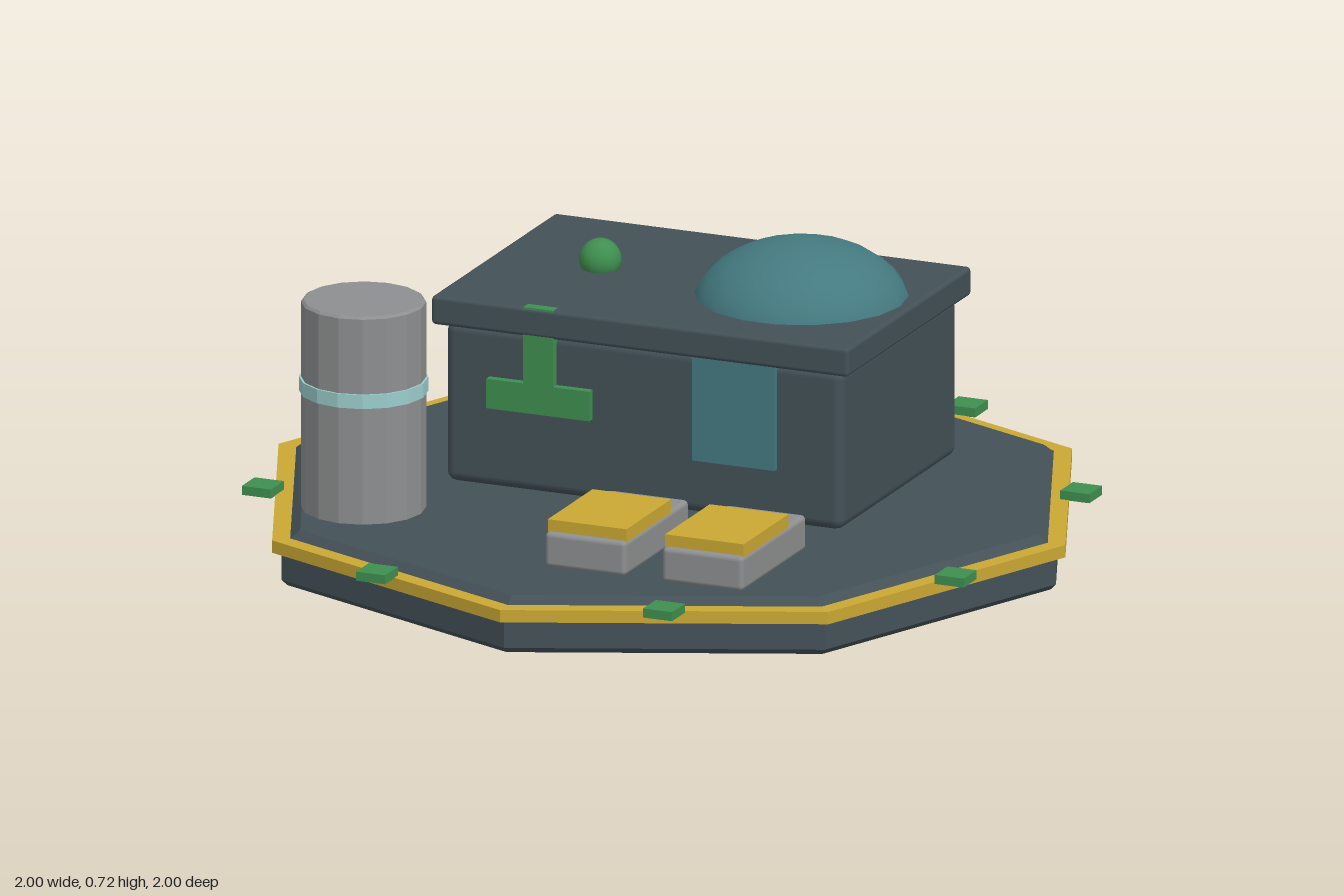
import * as THREE from 'three';
import { RoundedBoxGeometry } from 'three/addons/geometries/RoundedBoxGeometry.js';

const mat = (name, color) => {
  const m = new THREE.MeshStandardMaterial({ color });
  m.name = name;
  return m;
};

// Separate the faces so each one is shaded flat
function flat(geometry) {
  const g = geometry.index ? geometry.toNonIndexed() : geometry;
  g.computeVertexNormals();
  return g;
}

export function createModel() {
  const slate = mat('slate', 0x435157);
  const gold = mat('gold', 0xcaa833);
  const green = mat('green', 0x3f8f50);
  const teal = mat('teal', 0x447a80);
  const grey = mat('grey', 0x8d8f90);
  const paleTeal = mat('pale teal', 0x9ccccc);

  const model = new THREE.Group();
  model.name = 'outpost';

  const add = (name, geometry, material, x = 0, y = 0, z = 0) => {
    const mesh = new THREE.Mesh(geometry, material);
    mesh.name = name;
    mesh.position.set(x, y, z);
    model.add(mesh);
    return mesh;
  };
  // Box given by its extents on each axis, with optional softened edges
  const box = (name, material, [x0, x1], [y0, y1], [z0, z1], bevel = 0) => {
    const size = [x1 - x0, y1 - y0, z1 - z0];
    const g = bevel ? new RoundedBoxGeometry(...size, 2, bevel) : new THREE.BoxGeometry(...size);
    return add(name, g, material, (x0 + x1) / 2, (y0 + y1) / 2, (z0 + z1) / 2);
  };
  // Flat-shaded turned shape; the profile runs upward on the outside
  const turned = (points, sides) =>
    flat(new THREE.LatheGeometry(points.map(([r, y]) => new THREE.Vector2(r, y)), sides));

  // Octagonal platform and its rim
  add('platform', turned([[0, 0], [0.962, 0], [0.976, 0.014], [0.976, 0.094], [0.93, 0.13], [0, 0.13]], 8), slate);
  add('platformRim', turned([[0.955, 0.083], [1, 0.083], [1, 0.113], [0.955, 0.113], [0.955, 0.083]], 8), gold);

  // Marker lights around the rim, one per side
  for (let i = 0; i < 8; i++) {
    const a = (i + 0.5) * Math.PI / 4;
    add('rimLight', new THREE.BoxGeometry(0.074, 0.022, 0.074), green,
      Math.cos(a) * 0.953, 0.123, Math.sin(a) * 0.953);
  }

  // Building with overhanging roof
  box('buildingWalls', slate, [-0.505, 0.505], [0.13, 0.52], [-0.507, 0.168], 0.025);
  box('roof', slate, [-0.53, 0.53], [0.515, 0.585], [-0.53, 0.19], 0.01);
  box('door', teal, [0.13, 0.34], [0.263, 0.52], [0.16, 0.182]);

  // Wall emblem: wide foot and upright stem
  box('emblemFoot', green, [-0.39, -0.128], [0.328, 0.4], [0.16, 0.188]);
  box('emblemStem', green, [-0.296, -0.22], [0.4, 0.586], [0.16, 0.188]);

  // Shallow dome sunk into the roof, and a small beacon
  const dome = add('dome', new THREE.SphereGeometry(0.258, 18, 9, 0, Math.PI * 2, 0, Math.PI / 2),
    teal, 0.255, 0.545, -0.17);
  dome.scale.y = 0.66;
  add('beacon', new THREE.SphereGeometry(0.05, 16, 12), green, -0.258, 0.606, -0.173);

  // Storage tank with a band
  const tank = turned([[0, 0.13], [0.146, 0.13], [0.146, 0.629], [0.14, 0.635], [0, 0.635]], 16);
  add('tank', tank, grey, -0.598, 0, 0.425);
  add('tankBand', turned([[0.14, 0.413], [0.151, 0.413], [0.151, 0.447], [0.14, 0.447]], 16),
    paleTeal, -0.598, 0, 0.425);

  // Pair of crates with lids
  for (const x of [0.083, 0.381]) {
    box('crate', grey, [x - 0.103, x + 0.103], [0.13, 0.215], [0.323, 0.697], 0.012);
    box('crateLid', gold, [x - 0.1, x + 0.1], [0.205, 0.243], [0.423, 0.683]);
  }

  return model;
}
